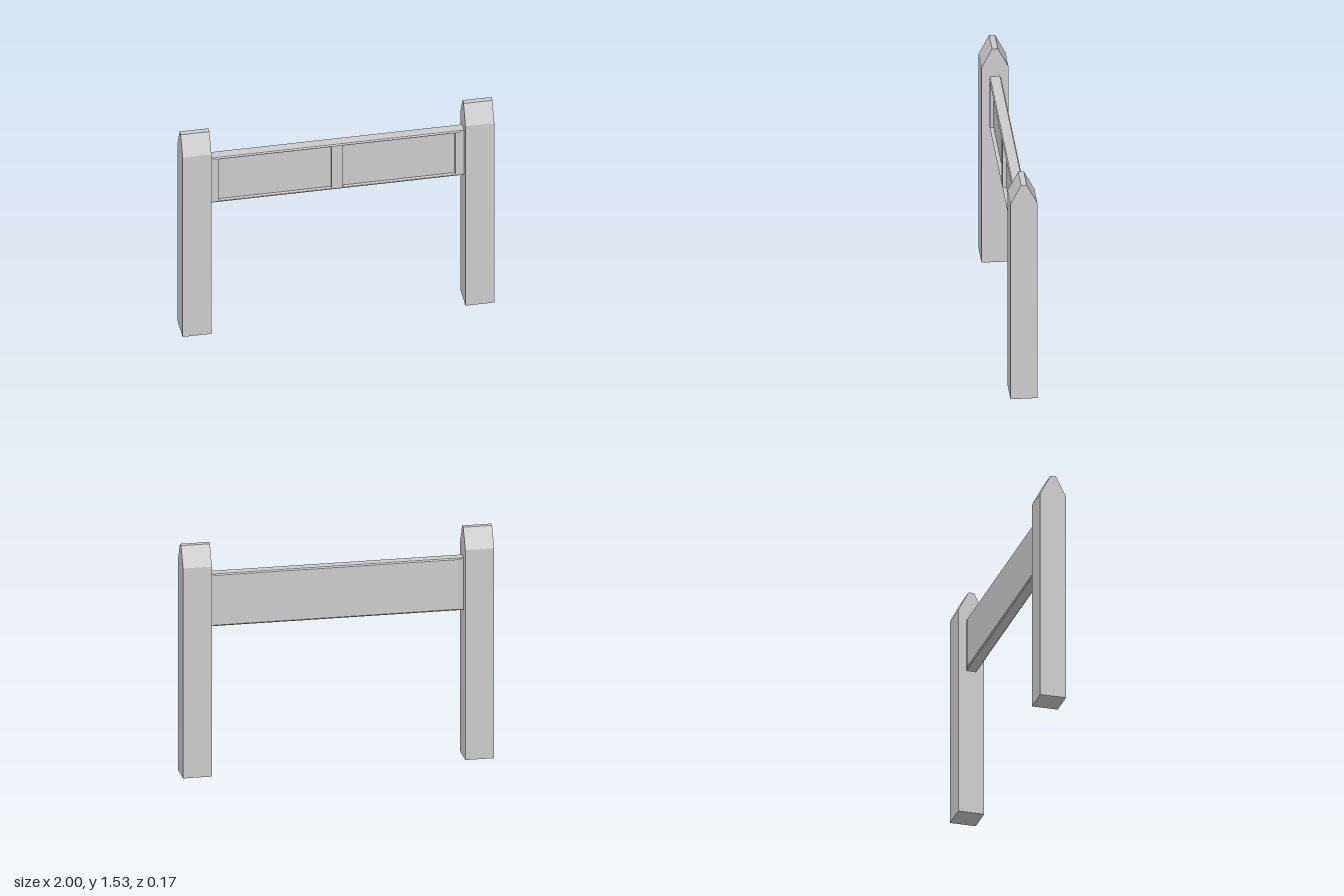
import * as THREE from 'three';

const material = new THREE.MeshStandardMaterial({ color: 0xcccccc, flatShading: true });

const POST_IN = 0.815, BOARD_Y = 1.158, HALF_H = 0.174;
const FACE_Z = 0.038, EDGE_Z = 0.031, RECESS_Z = 0.014;

function rect(path, x0, y0, x1, y1) {
  path.moveTo(x0, y0);
  path.lineTo(x1, y0);
  path.lineTo(x1, y1);
  path.lineTo(x0, y1);
  path.closePath();
  return path;
}

// Apply a rule to every vertex, then refresh the normals
function reshape(geometry, rule) {
  const p = geometry.attributes.position;
  const v = new THREE.Vector3();
  for (let i = 0; i < p.count; i++) {
    rule(v.fromBufferAttribute(p, i));
    p.setXYZ(i, v.x, v.y, v.z);
  }
  geometry.computeVertexNormals();
  return geometry;
}

// Pull the outer rim inwards to make the shallow chamfer of a board face
function chamfer(v) {
  if (Math.abs(v.x) > POST_IN - 0.01) v.x = Math.sign(v.x) * 0.78;
  if (Math.abs(v.y) > HALF_H - 0.003) v.y = Math.sign(v.y) * (HALF_H - 0.008);
}

function add(group, name, geometry) {
  const mesh = new THREE.Mesh(geometry, material);
  mesh.name = name;
  group.add(mesh);
  return mesh;
}

export function createModel() {
  const model = new THREE.Group();
  model.name = 'postSign';

  // Posts with a roof-shaped top
  const profile = new THREE.Shape([
    [-0.085, 0], [0.085, 0], [0.085, 1.4], [0.018, 1.53], [-0.018, 1.53], [-0.085, 1.4],
  ].map(([x, y]) => new THREE.Vector2(x, y)));
  const postGeometry = new THREE.ExtrudeGeometry(profile, { depth: 1 - POST_IN, bevelEnabled: false });
  postGeometry.translate(0, 0, -(1 - POST_IN) / 2).rotateY(Math.PI / 2);
  for (const side of [-1, 1]) {
    const post = add(model, side > 0 ? 'leftPost' : 'rightPost', postGeometry);
    post.position.x = side * (1 + POST_IN) / 2;
  }

  // Solid back of the board, chamfered on its rear face
  const back = new THREE.BoxGeometry(2 * POST_IN, 2 * HALF_H, 2, 1, 1, 2);
  reshape(back, (v) => {
    if (v.z < -0.5) {
      chamfer(v);
      v.z = -FACE_Z;
    } else v.z = v.z > 0.5 ? RECESS_Z : -EDGE_Z;
  });
  add(model, 'boardBack', back).position.y = BOARD_Y;

  // Front frame around two recessed panels, chamfered on its front face
  const outline = rect(new THREE.Shape(), -POST_IN, -HALF_H, POST_IN, HALF_H);
  for (const [x0, x1] of [[-0.758, -0.035], [0.035, 0.758]]) {
    outline.holes.push(rect(new THREE.Path(), x0, -0.162, x1, 0.162));
  }
  const frame = new THREE.ExtrudeGeometry(outline, { depth: 2, steps: 2, bevelEnabled: false });
  reshape(frame, (v) => {
    if (v.z > 1.5) {
      chamfer(v);
      v.z = FACE_Z;
    } else v.z = v.z < 0.5 ? RECESS_Z : EDGE_Z;
  });
  add(model, 'boardFrame', frame).position.y = BOARD_Y;

  return model;
}
